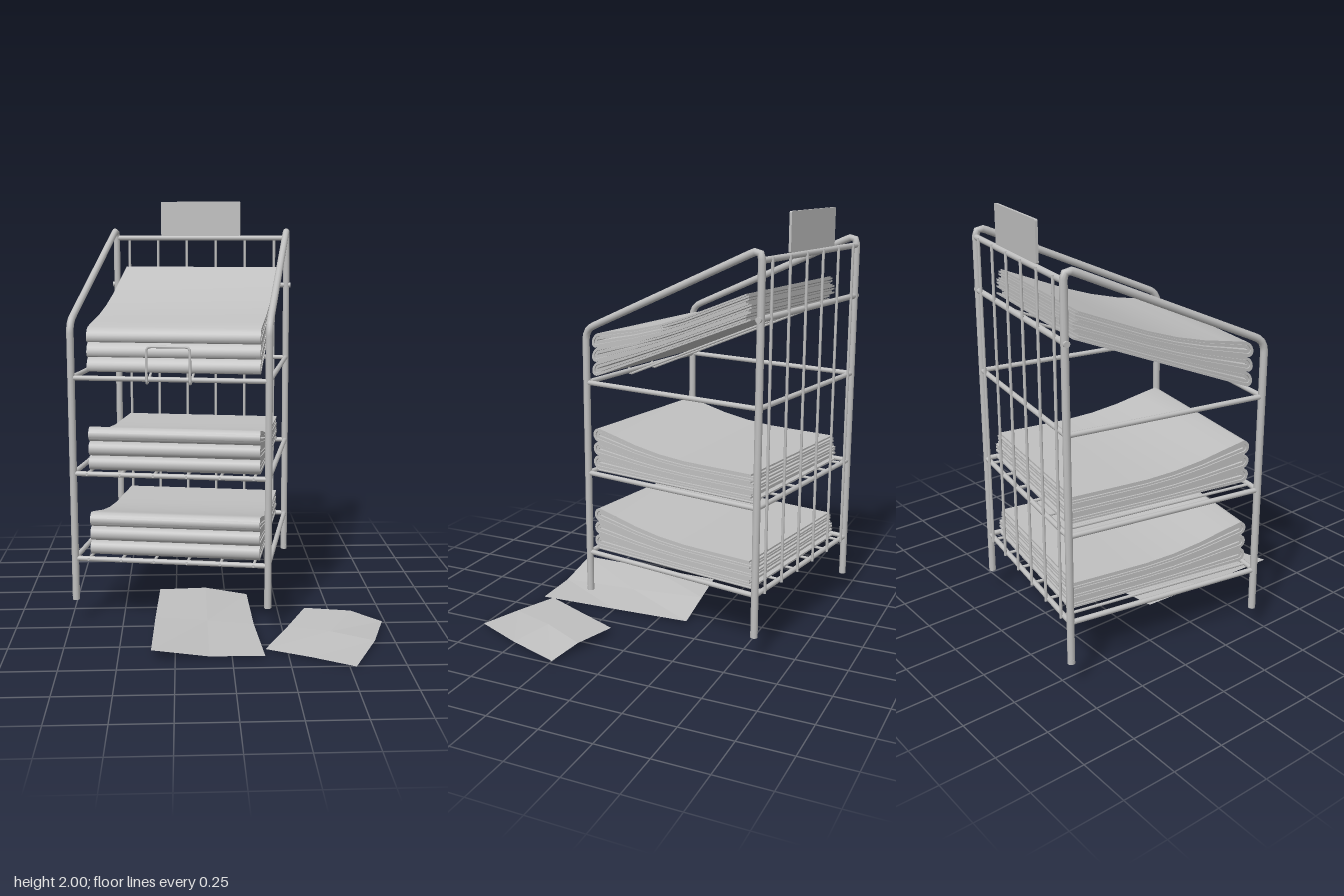
import * as THREE from 'three';
import { toCreasedNormals } from 'three/addons/utils/BufferGeometryUtils.js';

const grey = new THREE.MeshStandardMaterial({ color: 0xc0c0c0, side: THREE.DoubleSide });
grey.name = 'plain grey';

const HX = 0.457, HZ = 0.472;             // half spacing of the legs
const V = (x, y, z) => new THREE.Vector3(x, y, z);

function add(parent, name, geometry) {
  const mesh = new THREE.Mesh(geometry, grey);
  mesh.name = name;
  parent.add(mesh);
  return mesh;
}

// Straight rod between two points
function rod(parent, name, a, b, r, sides = 10) {
  const mesh = add(parent, name, new THREE.CylinderGeometry(r, r, a.distanceTo(b), sides));
  mesh.position.copy(a).add(b).multiplyScalar(0.5);
  mesh.quaternion.setFromUnitVectors(V(0, 1, 0), b.clone().sub(a).normalize());
}

// Tube through points with rounded corners
function bentTube(parent, name, pts, r, bend, segments) {
  const path = new THREE.CurvePath();
  let from = pts[0];
  for (let i = 1; i < pts.length - 1; i++) {
    const p = pts[i];
    const a = p.clone().add(pts[i - 1].clone().sub(p).setLength(bend));
    const b = p.clone().add(pts[i + 1].clone().sub(p).setLength(bend));
    path.add(new THREE.LineCurve3(from, a));
    path.add(new THREE.QuadraticBezierCurve3(a, p, b));
    from = b;
  }
  path.add(new THREE.LineCurve3(from, pts[pts.length - 1]));
  add(parent, name, new THREE.TubeGeometry(path, segments, r, 10));
}

// Newspaper stack: nested folded leaves, thick at the fold and flat at the back
const T0 = 0.068, FRONT = 0.47, LEN = 0.91;
function thickness(z) {
  const e = Math.min(1, Math.max(0, (FRONT - z - 0.06) / 0.52));
  return T0 - 0.027 * e * (2 - e);
}

function leafEdge(level, inset, back, slope) {
  const zs = [back, -0.2, -0.06, 0.08, 0.22, 0.33];
  const lift = z => slope * (FRONT - z);
  const side = f => zs.map(z => new THREE.Vector2(z, (level + f) * thickness(z) + lift(z)));
  const arc = [];
  const r = (0.5 - inset) * T0, cz = FRONT - T0 / 2;
  for (let k = 0; k <= 10; k++) {
    const a = Math.PI * (0.5 - k / 10);
    const z = cz + r * Math.cos(a);
    arc.push(new THREE.Vector2(z, (level + 0.5) * T0 + r * Math.sin(a) + lift(z)));
  }
  return [...side(1 - inset), ...arc, ...side(inset).reverse()];
}

function paperStack(parent, name, y, slope) {
  const stack = new THREE.Group();
  stack.name = name;
  stack.position.y = y;
  const shrink = slope ? 0.04 : 0;
  for (let level = 0; level < 3; level++) {
    [0, 0.24].forEach((inset, j) => {
      const back = FRONT - LEN + shrink + 0.012 * ((level + j * 2) % 3);
      const outer = leafEdge(level, inset, back, slope);
      const inner = leafEdge(level, inset + 0.21, back, slope).reverse();
      const g = new THREE.ExtrudeGeometry(new THREE.Shape([...outer, ...inner]),
        { depth: 0.8 - j * 0.006, bevelEnabled: false });
      g.rotateY(-Math.PI / 2);
      g.translate(0.417 - j * 0.003, 0, 0);
      add(stack, 'foldedLeaf', toCreasedNormals(g, 0.45));
    });
  }
  parent.add(stack);
}

// Loose sheet from a 3 x 3 grid of points
function looseSheet(parent, name, points) {
  const g = new THREE.BufferGeometry();
  g.setAttribute('position', new THREE.Float32BufferAttribute(points.flat(), 3));
  const index = [];
  for (let i = 0; i < 2; i++) for (let j = 0; j < 2; j++) {
    const a = i * 3 + j;
    index.push(a, a + 3, a + 4, a, a + 4, a + 1);
  }
  g.setIndex(index);
  const flat = g.toNonIndexed();
  flat.computeVertexNormals();
  add(parent, name, flat);
}

export function createModel() {
  const model = new THREE.Group();
  model.name = 'newspaperRack';
  const rack = new THREE.Group();
  rack.name = 'rack';
  rack.position.set(-0.19, 0, -0.197);
  rack.rotation.y = -0.174;
  model.add(rack);

  // Side frames: front leg, sloping arm and back leg in one bent tube
  for (const s of [-1, 1]) {
    const x = s * HX;
    bentTube(rack, 'sideFrame', [V(x, 0.12, HZ), V(x, 1.435, HZ), V(x, 1.86, -HZ),
      V(x, 0.12, -HZ)], 0.017, 0.05, 160);
    for (const z of [-HZ, HZ]) rod(rack, 'foot', V(x, 0.118, z), V(x, 0.14, z), 0.0172);
  }

  // Rectangular shelf rails
  for (const y of [0.32, 0.73, 1.18]) {
    for (const s of [-1, 1]) {
      rod(rack, 'sideRail', V(s * HX, y, -HZ), V(s * HX, y, HZ), 0.012);
      rod(rack, 'crossRail', V(-HX, y, s * HZ), V(HX, y, s * HZ), 0.012);
    }
  }
  rod(rack, 'topRail', V(-HX, 1.81, -HZ), V(HX, 1.81, -HZ), 0.014);
  rod(rack, 'supportRail', V(-0.48, 1.565, -HZ), V(0.48, 1.565, -HZ), 0.014);

  // Back wires and shelf wires
  for (let i = 0; i < 6; i++) {
    const x = (i - 2.5) * 0.156;
    rod(rack, 'backWire', V(x, 0.31, -HZ - 0.013), V(x, 1.82, -HZ - 0.013), 0.007, 8);
    for (const y of [0.32, 0.73])
      rod(rack, 'shelfWire', V(x, y, -HZ - 0.013), V(x, y, HZ + 0.013), 0.007, 8);
  }

  // Wire cradle with its front stop
  const arm = (x, ...p) => p.map(([y, z]) => V(x, y, z));
  const left = arm(-0.1, [1.565, -HZ], [1.155, 0.488], [1.33, 0.488]);
  const right = arm(0.1, [1.33, 0.488], [1.155, 0.488], [1.565, -HZ]);
  bentTube(rack, 'wireCradle', [...left, ...right], 0.006, 0.02, 200);

  // Stacks of papers
  paperStack(rack, 'lowerPapers', 0.336, 0);
  paperStack(rack, 'middlePapers', 0.744, 0);
  paperStack(rack, 'upperPapers', 1.196, 0.405);

  // Sign plate with small rounded corners
  const w = 0.212, y0 = 1.822, y1 = 2, r = 0.008;
  const plate = new THREE.Shape();
  plate.moveTo(-w + r, y0).lineTo(w - r, y0).quadraticCurveTo(w, y0, w, y0 + r)
    .lineTo(w, y1 - r).quadraticCurveTo(w, y1, w - r, y1)
    .lineTo(-w + r, y1).quadraticCurveTo(-w, y1, -w, y1 - r)
    .lineTo(-w, y0 + r).quadraticCurveTo(-w, y0, -w + r, y0);
  const sign = add(rack, 'signPlate',
    new THREE.ExtrudeGeometry(plate, { depth: 0.012, bevelEnabled: false, curveSegments: 4 }));
  sign.position.z = -HZ - 0.002;

  // Loose sheets on the floor
  looseSheet(model, 'looseSheetA', [
    [-0.355, 0.047, 0.655], [-0.1, 0.01, 0.645], [0.145, 0.008, 0.643],
    [-0.345, 0.05, 0.27], [-0.1, 0.025, 0.25], [0.12, 0.004, 0.25],
    [-0.33, 0.055, -0.11], [-0.1, 0.05, -0.14], [0.11, 0.01, -0.147]].reverse());
  looseSheet(model, 'looseSheetB', [
    [0.15, 0.015, 0.585], [0.27, 0.03, 0.36], [0.375, 0.035, 0.13],
    [0.35, 0.01, 0.674], [0.46, 0.032, 0.43], [0.59, 0.04, 0.19],
    [0.53, 0, 0.755], [0.655, 0.012, 0.5], [0.735, 0.005, 0.245]]);
  return model;
}
